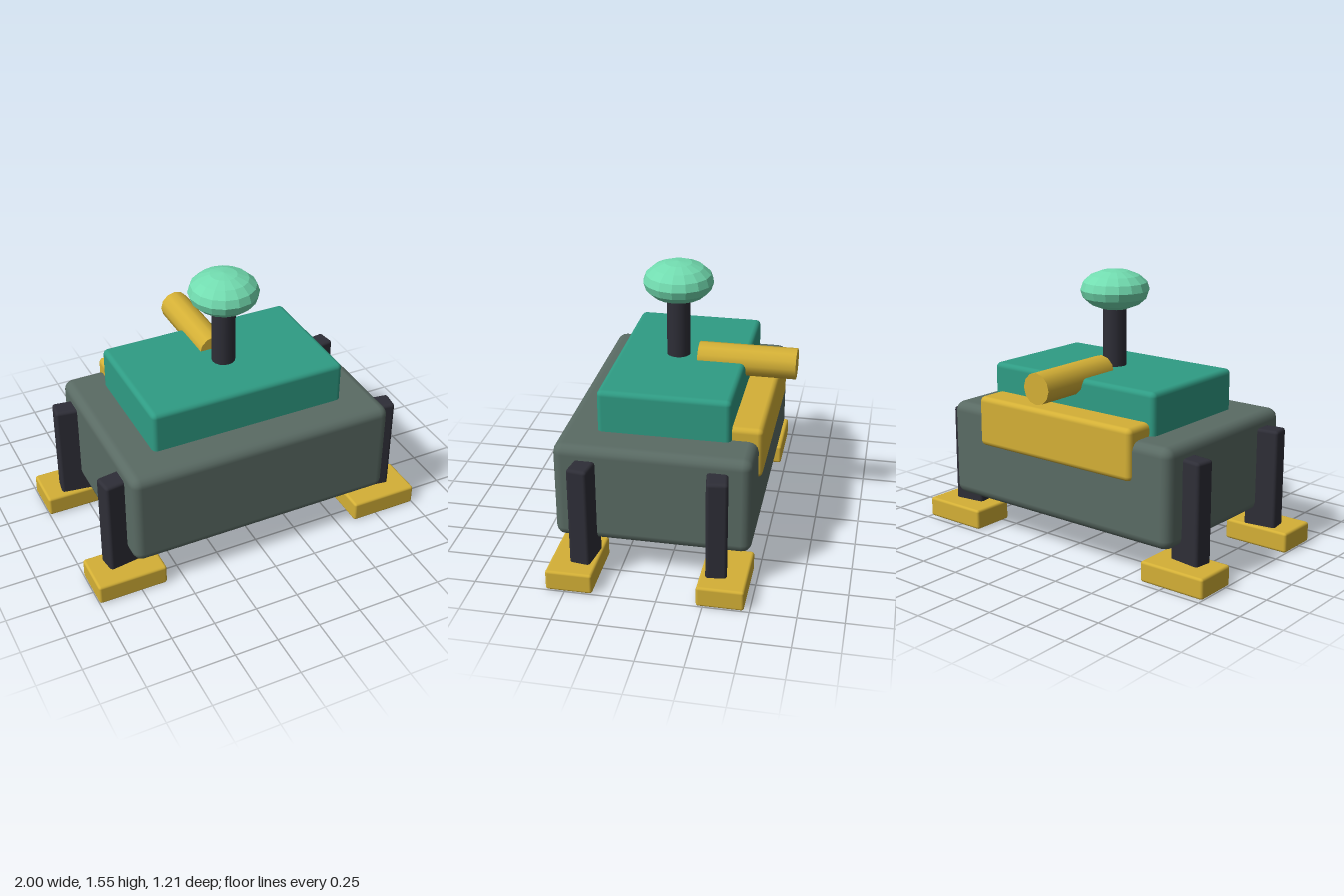
import * as THREE from 'three';
import { RoundedBoxGeometry } from 'three/addons/geometries/RoundedBoxGeometry.js';

const mat = (name, color, flatShading = false) => {
  const m = new THREE.MeshStandardMaterial({ color, flatShading });
  m.name = name;
  return m;
};

export function createModel() {
  const slate = mat('slate', 0x5a6b64);
  const teal = mat('teal', 0x2f9c84);
  const gold = mat('gold', 0xd4b036);
  const charcoal = mat('charcoal', 0x2e2e37);
  const mint = mat('mint', 0x72dcb0, true);

  const model = new THREE.Group();
  model.name = 'walker';
  const add = (name, geometry, material, x, y, z) => {
    const mesh = new THREE.Mesh(geometry, material);
    mesh.name = name;
    mesh.position.set(x, y, z);
    model.add(mesh);
    return mesh;
  };
  const box = (w, h, d, r) => new RoundedBoxGeometry(w, h, d, 2, r);

  // Hull, upper deck and rear pack
  add('hull', box(1.56, 0.56, 1.075, 0.055), slate, 0, 0.48, 0.067);
  add('deck', box(1.15, 0.36, 0.73, 0.03), teal, 0, 0.816, 0.04);
  add('rearPack', box(1.09, 0.29, 0.24, 0.03), gold, 0, 0.686, -0.372);

  // Four splayed legs with block feet
  for (const sx of [1, -1]) {
    for (const sz of [1, -1]) {
      const label = (sz > 0 ? 'front' : 'rear') + (sx > 0 ? 'Left' : 'Right');
      const leg = add(label + 'Leg', box(0.19, 0.6, 0.115, 0.018), charcoal,
        sx * 0.8, 0.385, 0.068 + sz * 0.36);
      leg.rotation.y = -sx * sz * 0.14;
      add(label + 'Foot', box(0.4, 0.117, 0.257, 0.015), gold,
        sx * 0.8, 0.0585, 0.067 + sz * 0.409);
    }
  }

  // Mast with a flattened faceted dome
  add('mast', new THREE.CylinderGeometry(0.067, 0.067, 0.5, 16), charcoal, 0, 1.12, 0.067);
  const dome = add('dome', new THREE.SphereGeometry(0.197, 16, 8), mint, 0, 1.43, 0.067);
  dome.scale.y = 0.585;

  // Rear-facing barrel
  const barrel = add('barrel', new THREE.CylinderGeometry(0.088, 0.088, 0.552, 12), gold,
    0, 0.983, -0.328);
  barrel.rotation.x = Math.PI / 2;

  return model;
}
